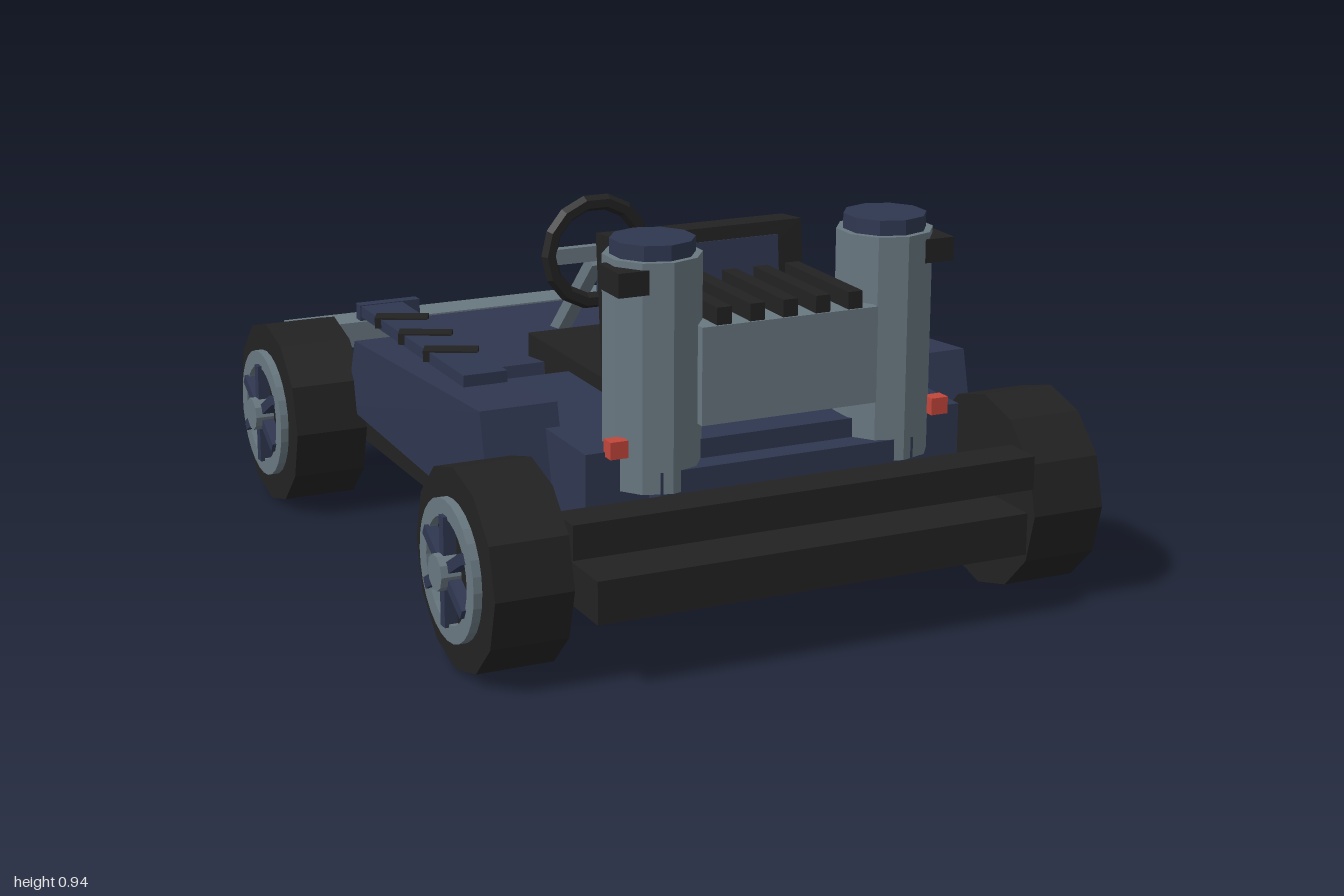
import * as THREE from 'three';

const mat = (name, color) => {
  const m = new THREE.MeshStandardMaterial({ color });
  m.name = name;
  return m;
};

export function createModel() {
  const navy = mat('navy paint', 0x2f3750);
  const steel = mat('grey steel', 0x687780);
  const black = mat('black rubber', 0x222222);
  const red = mat('red lamp', 0xc0463a);
  const kart = new THREE.Group();
  kart.name = 'kart';

  // Faceted mesh helper
  function add(name, geometry, material, parent = kart) {
    const g = geometry.index ? geometry.toNonIndexed() : geometry;
    g.computeVertexNormals();
    const mesh = new THREE.Mesh(g, material);
    mesh.name = name;
    parent.add(mesh);
    return mesh;
  }

  // Box given by its lower and upper limits on each axis
  function box(name, x0, x1, y0, y1, z0, z1, material, parent = kart) {
    const mesh = add(name, new THREE.BoxGeometry(x1 - x0, y1 - y0, z1 - z0), material, parent);
    mesh.position.set((x0 + x1) / 2, (y0 + y1) / 2, (z0 + z1) / 2);
    return mesh;
  }

  // Box whose eight corners are placed by a rule of (right, up, front) flags
  function wedge(name, rule, material) {
    const g = new THREE.BoxGeometry(1, 1, 1);
    const p = g.attributes.position;
    for (let i = 0; i < p.count; i++) {
      p.setXYZ(i, ...rule(p.getX(i) > 0, p.getY(i) > 0, p.getZ(i) > 0));
    }
    return add(name, g, material);
  }

  // Cylinder lying along x
  function disc(name, r, x0, x1, sides, material, parent) {
    const g = new THREE.CylinderGeometry(r, r, x1 - x0, sides);
    g.rotateZ(-Math.PI / 2);
    const mesh = add(name, g, material, parent);
    mesh.position.x = (x0 + x1) / 2;
    return mesh;
  }

  // Floor, bumper, front bar
  box('floor', -0.54, 0.54, 0.16, 0.26, -0.85, 1.0, black);
  box('rearBumper', -0.58, 0.58, 0.3, 0.38, 0.86, 0.96, black);
  box('frontBar', -0.585, 0.585, 0.29, 0.36, -1.0, -0.895, steel);

  // Sloping hood and rear deck
  wedge('hood', (r, up, back) => {
    const s = r ? 1 : -1;
    if (back) return up ? [s * 0.45, 0.46, 0.01] : [s * 0.49, 0.2, 0.05];
    return up ? [s * 0.25, 0.37, -0.845] : [s * 0.285, 0.19, -0.9];
  }, navy);
  box('rearDeck', -0.475, 0.475, 0.28, 0.475, 0.16, 0.79, navy);
  box('engineMount', -0.32, 0.32, 0.28, 0.43, 0.78, 0.85, navy);

  // Seat
  box('seatBase', -0.24, 0.24, 0.27, 0.51, -0.09, 0.4, black);
  const seatBack = new THREE.Group();
  seatBack.name = 'seatBack';
  seatBack.position.set(0, 0.51, 0.415);
  seatBack.rotation.x = -0.09;
  kart.add(seatBack);
  box('backrest', -0.245, 0.245, -0.02, 0.352, -0.048, 0.048, black, seatBack);
  box('frontPanel', -0.17, 0.17, 0.19, 0.31, -0.052, -0.046, navy, seatBack);
  box('rearPanel', -0.18, 0.18, 0.19, 0.32, 0.046, 0.052, navy, seatBack);

  // Steering wheel and column
  const rim = add('steeringWheel', new THREE.TorusGeometry(0.13, 0.021, 6, 14), black);
  rim.position.set(0, 0.668, -0.213);
  box('steeringSpoke', -0.12, 0.12, 0.645, 0.685, -0.225, -0.2, steel);
  const column = box('steeringColumn', -0.018, 0.018, 0.34, 0.7, -0.352, -0.316, steel);
  column.position.set(0, 0.52, -0.335);
  column.rotation.x = Math.PI / 4;

  // Engine block with cooling fins
  box('engine', -0.22, 0.22, 0.525, 0.75, 0.53, 0.85, steel);
  for (let i = -2; i <= 2; i++) {
    box('engineFin', i * 0.082 - 0.018, i * 0.082 + 0.018, 0.74, 0.79, 0.54, 0.845, black);
  }

  for (const s of [1, -1]) {
    const sideBox = (name, x0, x1, ...rest) =>
      box(name, Math.min(s * x0, s * x1), Math.max(s * x0, s * x1), ...rest);

    // Side pod
    wedge('sidePod', (r, up, rear) => {
      const outer = r === (s > 0);
      const x = s * (outer ? (rear ? 0.63 : 0.6) : (rear ? 0.44 : 0.455));
      if (rear) return [x, up ? 0.53 : 0.27, up ? 0.555 : 0.62];
      return [x, up ? 0.46 : 0.27, up ? -0.37 : -0.44];
    }, navy);
    sideBox('podStrip', 0.475, 0.585, 0.525, 0.553, -0.355, 0.345, navy);
    for (const z of [-0.21, -0.045, 0.125]) {
      const slat = sideBox('podSlat', 0.465, 0.595, 0.53, 0.557, z - 0.025, z + 0.025, black);
      slat.rotation.y = -0.45;
    }

    // Exhaust tower with cap, clip and lamp
    const tower = add('tower', new THREE.CylinderGeometry(0.112, 0.112, 0.525, 10), steel);
    tower.position.set(s * 0.292, 0.6425, 0.745);
    const cap = add('towerCap', new THREE.CylinderGeometry(0.096, 0.096, 0.04, 10), navy);
    cap.position.set(s * 0.292, 0.92, 0.745);
    sideBox('towerClip', 0.345, 0.418, 0.835, 0.89, 0.735, 0.842, black);
    sideBox('tailLamp', 0.385, 0.428, 0.465, 0.505, 0.783, 0.82, red);

    // Small front fin
    sideBox('frontFin', 0.27, 0.44, 0.395, 0.438, -0.812, -0.78, navy);

    // Wheels
    for (const z of [0.735, -0.585]) {
      const wheel = new THREE.Group();
      wheel.name = 'wheel';
      wheel.position.set(0, 0.235, z);
      wheel.rotation.y = s > 0 ? 0 : Math.PI;
      kart.add(wheel);
      disc('axle', 0.018, 0, 0.8, 8, steel, wheel);
      disc('tyre', 0.235, 0.58, 0.765, 12, black, wheel);
      const ringShape = new THREE.Shape().absarc(0, 0, 0.163, 0, Math.PI * 2);
      ringShape.holes.push(new THREE.Path().absarc(0, 0, 0.122, 0, Math.PI * 2, true));
      const ring = new THREE.ExtrudeGeometry(ringShape,
        { depth: 0.025, bevelEnabled: false, curveSegments: 14 });
      ring.rotateY(Math.PI / 2);
      add('wheelRing', ring, steel, wheel).position.x = 0.76;
      for (let i = 0; i < 3; i++) {
        const spoke = box('spoke', 0.765, 0.795, -0.128, 0.128, -0.013, 0.013, navy, wheel);
        spoke.rotation.x = i * Math.PI / 3;
      }
      disc('hub', 0.042, 0.76, 0.812, 10, steel, wheel);
    }
  }
  return kart;
}
